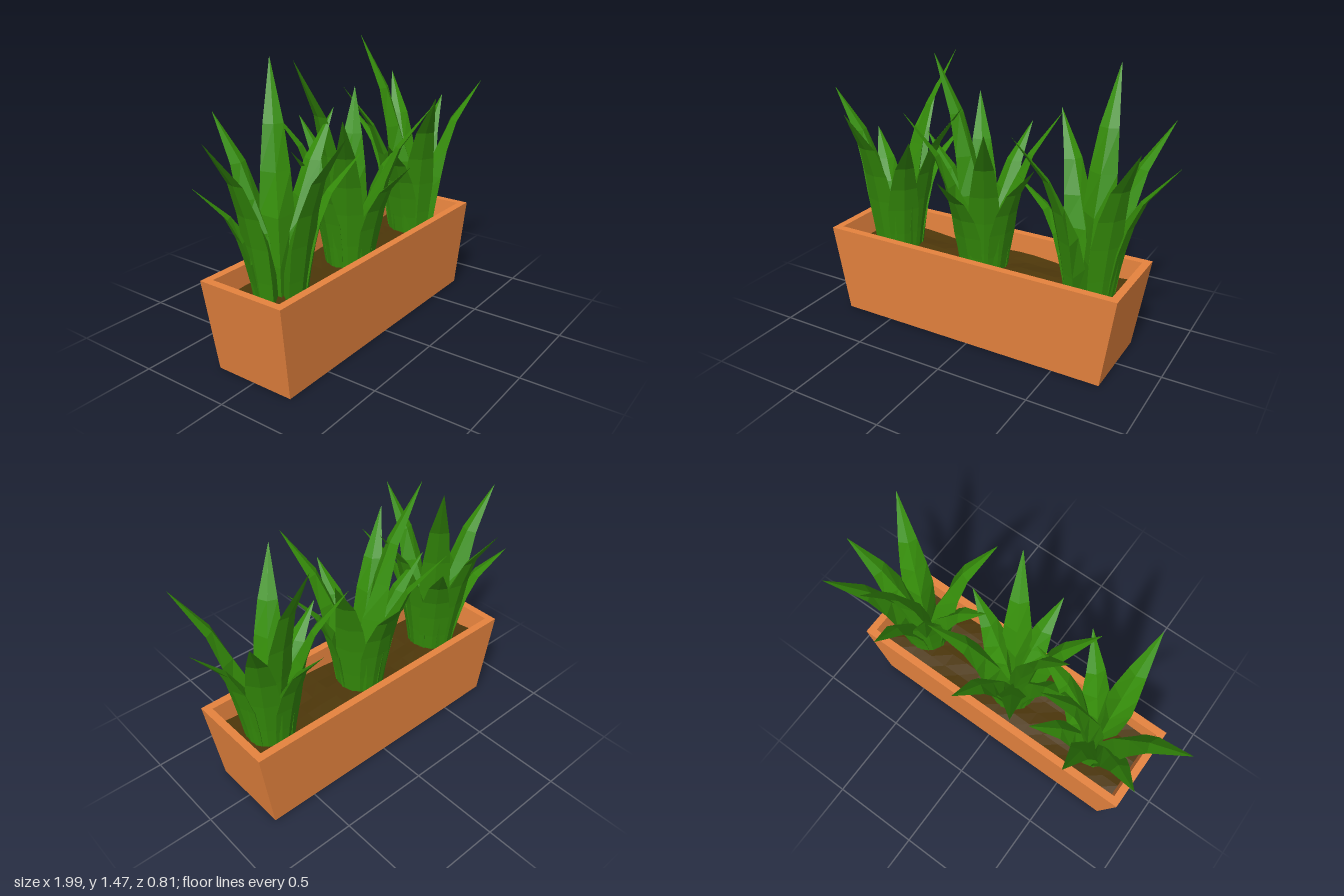
import * as THREE from 'three';

// Skins a stack of four-cornered rings (counter-clockwise seen from above) and caps both ends.
function loft(rings) {
  const index = [];
  for (let i = 0; i < rings.length - 1; i++) {
    for (let j = 0; j < 4; j++) {
      const a = i * 4 + j, b = i * 4 + (j + 1) % 4;
      index.push(a, b, b + 4, a, b + 4, a + 4);
    }
  }
  const t = (rings.length - 1) * 4;
  index.push(0, 2, 1, 0, 3, 2, t, t + 1, t + 2, t, t + 2, t + 3);
  const geo = new THREE.BufferGeometry();
  geo.setAttribute('position', new THREE.Float32BufferAttribute(rings.flat(2), 3));
  geo.setIndex(index);
  const flat = geo.toNonIndexed();
  flat.computeVertexNormals();
  return flat;
}

function rectRing(x, y, z) {
  return [[x, y, z], [x, y, -z], [-x, y, -z], [-x, y, z]];
}

// Tapering leaf that rises, then bows outward along +x, with a thick inner ridge low down.
const LEAF_Y = 0.4;
function leafGeometry(height, reach, baseRadius) {
  const steps = [ // height fraction, outward bend fraction, half width, inner ridge depth
    [-0.07, 0, 0.064, 0.085], [0.12, 0.05, 0.075, 0.09], [0.34, 0.13, 0.084, 0.07],
    [0.53, 0.25, 0.072, 0.03], [0.73, 0.46, 0.05, 0.012], [1, 1, 0.001, 0],
  ];
  return loft(steps.map(([t, bend, w, ridge]) => {
    const y = LEAF_Y + t * (height - LEAF_Y);
    const r = baseRadius + bend * (reach - baseRadius);
    const edge = r + 0.15 * w;
    return [[r + 0.4 * w, y, 0], [edge, y, -w], [r - ridge, y, 0], [edge, y, w]];
  }));
}

export function createModel() {
  const clay = new THREE.MeshStandardMaterial({ color: 0xe6833e });
  const soilMat = new THREE.MeshStandardMaterial({ color: 0x4d370a });
  const green = new THREE.MeshStandardMaterial({ color: 0x358d0a });
  clay.name = 'terracotta';
  soilMat.name = 'soil brown';
  green.name = 'leaf green';

  const model = new THREE.Group();
  model.name = 'planterBox';

  // Hollow tapered trough
  const trough = new THREE.Mesh(loft([
    rectRing(0.771, 0, 0.225), rectRing(0.843, 0.493, 0.246),
    rectRing(0.802, 0.493, 0.204), rectRing(0.75, 0.1, 0.19),
  ]), clay);
  trough.name = 'trough';
  trough.position.x = -0.014;
  model.add(trough);

  // Gently uneven soil
  let soilGeo = new THREE.PlaneGeometry(1.574, 0.4, 16, 5);
  soilGeo.rotateX(-Math.PI / 2);
  const p = soilGeo.attributes.position;
  for (let i = 0; i < p.count; i++) {
    p.setY(i, 0.012 * Math.sin(p.getX(i) * 9 + p.getZ(i) * 14) * Math.cos(p.getZ(i) * 17));
  }
  soilGeo = soilGeo.toNonIndexed();
  soilGeo.computeVertexNormals();
  const soil = new THREE.Mesh(soilGeo, soilMat);
  soil.name = 'soil';
  soil.position.set(-0.014, 0.375, 0);
  model.add(soil);

  // Each leaf: angle in degrees, tip height, reach, base radius
  const leaves = [
    [0, 1.465, 0.345, 0.045],
    [3, 1.045, 0.39, 0.1],
    [44, 1.22, 0.405, 0.1],
    [97, 0.955, 0.385, 0.1],
    [132, 1.22, 0.422, 0.1],
    [-136, 1.22, 0.4, 0.1],
    [-89, 1.085, 0.4, 0.1],
    [-45, 1.22, 0.425, 0.1],
  ];
  const extraLeaf = [171, 1.01, 0.38, 0.1];

  // Three plants, each the same rosette turned differently
  const plants = [
    ['rightPlant', -0.575, 45, leaves],
    ['middlePlant', -0.02, 168, [...leaves, extraLeaf]],
    ['leftPlant', 0.59, 95, leaves],
  ];
  for (const [name, x, turn, list] of plants) {
    const plant = new THREE.Group();
    plant.name = name;
    plant.position.x = x;
    plant.rotation.y = THREE.MathUtils.degToRad(turn);
    for (const [angle, height, reach, base] of list) {
      const leaf = new THREE.Mesh(leafGeometry(height, reach, base), green);
      leaf.name = 'leaf';
      leaf.rotation.y = THREE.MathUtils.degToRad(angle);
      plant.add(leaf);
    }
    model.add(plant);
  }
  return model;
}
